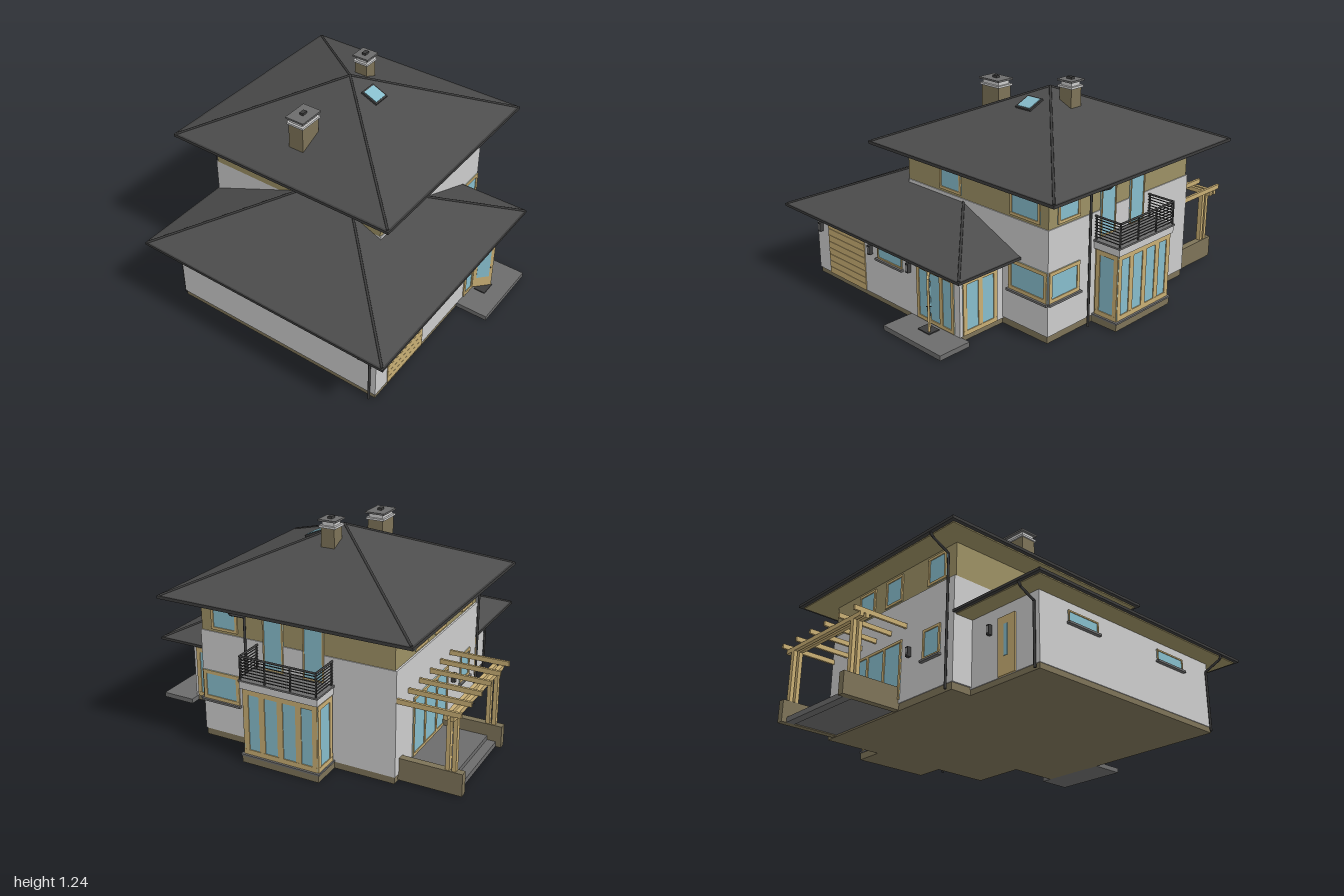
import * as THREE from 'three';

const mat = (color, extra = {}) => new THREE.MeshStandardMaterial({ color, ...extra });
const M = {
  wall: mat(0xcccccc), olive: mat(0x9c9064), stone: mat(0x7d7358), wood: mat(0xc8ae74),
  glass: mat(0x86bccb), dark: mat(0x3c3c3c), slab: mat(0x6c6c6c),
  roof: mat(0x4c4c4c, { side: THREE.DoubleSide, flatShading: true }),
};

// Box given by its limits on each axis
function box(parent, name, m, x0, x1, y0, y1, z0, z1) {
  const mesh = new THREE.Mesh(new THREE.BoxGeometry(x1 - x0, y1 - y0, z1 - z0), m);
  mesh.position.set((x0 + x1) / 2, (y0 + y1) / 2, (z0 + z1) / 2);
  mesh.name = name;
  parent.add(mesh);
  return mesh;
}

// Round bar through a list of points
function bar(parent, name, m, r, ...pts) {
  for (let i = 1; i < pts.length; i++) {
    const a = new THREE.Vector3(...pts[i - 1]), b = new THREE.Vector3(...pts[i]);
    const d = b.clone().sub(a);
    const mesh = new THREE.Mesh(new THREE.CylinderGeometry(r, r, d.length(), 8), m);
    mesh.position.copy(a).add(b).multiplyScalar(0.5);
    mesh.quaternion.setFromUnitVectors(new THREE.Vector3(0, 1, 0), d.normalize());
    mesh.name = name;
    parent.add(mesh);
  }
}

// Flat roof plane: fan over its corners
function plane(parent, name, pts) {
  const v = [];
  for (let i = 1; i < pts.length - 1; i++) v.push(...pts[0], ...pts[i], ...pts[i + 1]);
  const g = new THREE.BufferGeometry();
  g.setAttribute('position', new THREE.Float32BufferAttribute(v, 3));
  g.computeVertexNormals();
  const mesh = new THREE.Mesh(g, M.roof);
  mesh.name = name;
  parent.add(mesh);
}

// Framed glazing on a wall; side is front, back, left (+x) or right (-x); a..b runs along the wall
const TURN = { front: 0, left: Math.PI / 2, back: Math.PI, right: -Math.PI / 2 };
function glazing(parent, name, side, at, a, b, y0, y1, { panes = 1, sill = false, f = 0.015 } = {}) {
  const g = new THREE.Group();
  const w = Math.abs(b - a), mid = (a + b) / 2, n = w / panes;
  g.name = name;
  g.rotation.y = TURN[side];
  if (side === 'front' || side === 'back') g.position.set(mid, 0, at);
  else g.position.set(at, 0, mid);
  box(g, 'glass', M.glass, -w / 2, w / 2, y0, y1, -0.004, 0.003);
  for (const y of [y0, y1 - f]) box(g, 'frameRail', M.wood, -w / 2, w / 2, y, y + f, -0.004, 0.008);
  for (let i = 0; i <= panes; i++) {
    const x = -w / 2 + i * n, h = i === 0 || i === panes ? f : f * 1.2;
    const x0 = i === 0 ? x : i === panes ? x - h : x - h / 2;
    box(g, 'frameStile', M.wood, x0, x0 + h, y0, y1, -0.004, 0.0075);
  }
  if (sill) box(g, 'sill', M.slab, -w / 2 - 0.008, w / 2 + 0.008, y0 - 0.012, y0, -0.004, 0.02);
  parent.add(g);
}

function lamp(parent, x, z, dir) {
  box(parent, 'wallLamp', M.dark, x - 0.01, x + 0.01, 0.275, 0.33, z - 0.012, z + 0.012);
  box(parent, 'lampGlass', M.wall, x - 0.005, x + 0.005, 0.285, 0.32, z + dir * 0.013 - 0.002, z + dir * 0.013 + 0.002);
}

function chimney(parent, x0, x1, z0, z1, base, top) {
  const g = new THREE.Group();
  const cx = (x0 + x1) / 2, cz = (z0 + z1) / 2;
  g.name = 'chimney';
  box(g, 'stack', M.stone, x0, x1, base, top, z0, z1);
  box(g, 'collar', M.wall, x0 - 0.008, x1 + 0.008, top, top + 0.012, z0 - 0.008, z1 + 0.008);
  box(g, 'neck', M.wall, x0 + 0.005, x1 - 0.005, top + 0.012, top + 0.035, z0 + 0.005, z1 - 0.005);
  box(g, 'cap', M.slab, x0 - 0.01, x1 + 0.01, top + 0.035, top + 0.045, z0 - 0.012, z1 + 0.012);
  box(g, 'vent', M.dark, cx - 0.018, cx + 0.018, top + 0.045, top + 0.058, cz - 0.012, cz + 0.012);
  parent.add(g);
}

function walls(g) {
  box(g, 'groundFloorWall', M.wall, -0.32, 0.755, 0.04, 0.63, -0.655, 0.505);
  box(g, 'upperFloorWall', M.olive, -0.32, 0.75, 0.63, 0.83, -0.645, 0.5);
  box(g, 'garageWall', M.wall, -0.8, -0.31, 0.03, 0.42, -0.53, 0.81);
  box(g, 'porchWall', M.wall, -0.32, 0.43, 0.03, 0.42, 0.49, 0.81);
  box(g, 'housePlinth', M.stone, -0.31, 0.75, 0, 0.04, -0.65, 0.5);
  box(g, 'garagePlinth', M.stone, -0.795, -0.31, 0, 0.03, -0.525, 0.805);
  box(g, 'porchPlinth', M.stone, -0.31, 0.425, 0, 0.03, 0.49, 0.805);
}

function upperRoof(g) {
  const x0 = -0.47, x1 = 0.91, z0 = -0.8, z1 = 0.64, y = 0.85, apex = [0.215, 1.157, -0.08];
  const c = [[x0, y, z1], [x1, y, z1], [x1, y, z0], [x0, y, z0]];
  c.forEach((p, i) => {
    plane(g, 'upperRoofSlope', [p, c[(i + 1) % 4], apex]);
    bar(g, 'hipCap', M.dark, 0.007, p, apex);
  });
  box(g, 'upperEave', M.dark, -0.483, 0.922, 0.833, 0.85, -0.813, 0.652);
  box(g, 'upperSoffit', M.olive, -0.46, 0.9, 0.826, 0.834, -0.79, 0.63);
  // skylight lying on the front slope
  const s = new THREE.Group();
  s.name = 'skylight';
  s.position.set(0.215, 1.089, 0.085);
  s.rotation.x = Math.atan2(0.307, 0.72);
  box(s, 'skylightFrame', M.dark, -0.055, 0.055, -0.01, 0.008, -0.055, 0.055);
  box(s, 'skylightGlass', M.glass, -0.045, 0.045, 0, 0.011, -0.045, 0.045);
  g.add(s);
  chimney(g, -0.285, -0.145, -0.13, -0.035, 0.9, 1.085);
  chimney(g, 0.32, 0.405, -0.12, -0.04, 1.0, 1.18);
}

function lowerRoof(g) {
  // one pitch all round; height follows from the distance to the nearest eave
  const X0 = -0.925, X1 = 0.555, Z0 = -0.65, Z1 = 0.925;
  const P = (x, z) => [x, 0.43 + 0.43 * Math.min(x - X0, X1 - x, z - Z0, Z1 - z), z];
  const r = 0.605; // garage eave to house wall
  const A = P(X0, Z1), B = P(X1, Z1), C = P(X1 - 0.425, 0.5), F = P(-0.32, Z1 - r);
  const G = P(-0.32, Z0 + r), H = P(X0, Z0);
  plane(g, 'lowerRoofFront', [A, B, C, P(-0.32, 0.5), F]);
  plane(g, 'lowerRoofEnd', [B, P(X1, 0.5), C]);
  plane(g, 'lowerRoofSide', [A, F, G, H]);
  plane(g, 'lowerRoofBack', [H, G, P(-0.32, Z0)]);
  for (const [p, q] of [[A, F], [B, C], [H, G]]) bar(g, 'hipCap', M.dark, 0.007, p, q);
  box(g, 'lowerEaveFront', M.dark, -0.935, 0.565, 0.415, 0.43, 0.5, 0.935);
  box(g, 'lowerEaveSide', M.dark, -0.935, -0.315, 0.415, 0.43, -0.66, 0.5);
  box(g, 'lowerSoffitFront', M.olive, -0.915, 0.545, 0.409, 0.416, 0.5, 0.915);
  box(g, 'lowerSoffitSide', M.olive, -0.915, -0.315, 0.409, 0.416, -0.64, 0.5);
}

function openings(g) {
  // front
  glazing(g, 'upperWindow', 'front', 0.5, -0.055, 0.115, 0.645, 0.81);
  glazing(g, 'upperWindow', 'front', 0.5, 0.485, 0.695, 0.645, 0.81);
  glazing(g, 'cornerWindowFront', 'front', 0.505, 0.48, 0.75, 0.23, 0.4, { sill: true, f: 0.02 });
  glazing(g, 'hallWindow', 'front', 0.81, -0.23, -0.02, 0.27, 0.35, { sill: true, f: 0.008 });
  glazing(g, 'entranceGlazing', 'front', 0.81, 0.1, 0.39, 0.035, 0.345, { panes: 3, f: 0.02 });
  for (let i = 0; i < 8; i++) box(g, 'garageDoorSlat', M.wood, -0.69, -0.35, 0.03 + i * 0.04, 0.068 + i * 0.04, 0.8, 0.815);
  box(g, 'garageDoorPanel', M.wood, -0.69, -0.35, 0.03, 0.35, 0.8, 0.812);
  for (const x of [-0.755, -0.29, 0.04]) lamp(g, x, 0.822, 1);
  // entrance door standing open
  const d = new THREE.Group();
  d.name = 'openEntranceDoor';
  d.position.set(0.2, 0, 0.815);
  d.rotation.y = -0.75;
  box(d, 'doorLeaf', M.wood, 0, 0.115, 0.04, 0.34, -0.006, 0.006);
  box(d, 'doorGlass', M.glass, 0.02, 0.095, 0.11, 0.325, -0.008, 0.008);
  bar(d, 'doorHandle', M.dark, 0.003, [0.1, 0.18, -0.014], [0.1, 0.18, 0.014]);
  g.add(d);
  // left side
  glazing(g, 'upperWindow', 'left', 0.75, 0.27, 0.435, 0.645, 0.81);
  for (const z of [0.05, -0.19]) glazing(g, 'balconyDoor', 'left', 0.756, z - 0.06, z + 0.06, 0.48, 0.805, { f: 0.008 });
  glazing(g, 'cornerWindowSide', 'left', 0.755, 0.27, 0.5, 0.23, 0.4, { sill: true, f: 0.02 });
  glazing(g, 'porchSideGlazing', 'left', 0.43, 0.55, 0.79, 0.035, 0.345, { panes: 2, f: 0.025 });
  // back
  for (const x of [0.45, 0.2, -0.17]) glazing(g, 'upperWindow', 'back', -0.645, x - 0.075, x + 0.075, 0.645, 0.81);
  glazing(g, 'terraceDoors', 'back', -0.655, 0.1, 0.55, 0.06, 0.4, { panes: 3 });
  glazing(g, 'kitchenWindow', 'back', -0.655, -0.22, -0.08, 0.22, 0.39, { sill: true });
  box(g, 'backDoor', M.wood, -0.64, -0.52, 0.03, 0.345, -0.54, -0.525);
  box(g, 'backDoorGlass', M.glass, -0.59, -0.565, 0.13, 0.3, -0.543, -0.53);
  lamp(g, -0.46, -0.542, -1);
  lamp(g, 0.03, -0.667, -1);
  // right side of the garage
  for (const z of [0.47, -0.22]) glazing(g, 'garageWindow', 'right', -0.8, z - 0.11, z + 0.11, 0.3, 0.365, { sill: true, f: 0.008 });
}

function bayAndBalcony(g) {
  box(g, 'bayPlinth', M.stone, 0.74, 0.92, 0, 0.04, -0.305, 0.155);
  box(g, 'bayCore', M.wood, 0.74, 0.905, 0.04, 0.43, -0.295, 0.14);
  glazing(g, 'bayFront', 'left', 0.905, -0.295, 0.14, 0.05, 0.425, { panes: 4, f: 0.028 });
  glazing(g, 'bayCheek', 'front', 0.14, 0.765, 0.91, 0.05, 0.425, { f: 0.026 });
  glazing(g, 'bayCheek', 'back', -0.295, 0.765, 0.91, 0.05, 0.425, { f: 0.026 });
  box(g, 'baySill', M.slab, 0.75, 0.925, 0.04, 0.05, -0.31, 0.16);
  box(g, 'balconySlab', M.wall, 0.74, 0.925, 0.43, 0.47, -0.305, 0.155);
  box(g, 'balconyFloor', M.slab, 0.74, 0.93, 0.47, 0.48, -0.31, 0.16);
  for (let i = 0; i < 8; i++) {
    const y = 0.495 + i * 0.0164;
    bar(g, 'balconyRail', M.dark, i === 7 ? 0.006 : 0.003, [0.755, y, 0.148], [0.922, y, 0.148], [0.922, y, -0.298], [0.755, y, -0.298]);
  }
  for (const [x, z] of [[0.765, 0.148], [0.922, 0.148], [0.922, 0], [0.922, -0.15], [0.922, -0.298], [0.765, -0.298]])
    bar(g, 'balconyPost', M.dark, 0.005, [x, 0.475, z], [x, 0.612, z]);
}

function terrace(g) {
  box(g, 'entranceStep', M.slab, 0.04, 0.49, 0, 0.028, 0.8, 1);
  box(g, 'doorMat', M.dark, 0.2, 0.29, 0.028, 0.034, 0.83, 0.9);
  for (const [a, b] of [[0.11, 0.15], [0.67, 0.71]]) box(g, 'terraceSideWall', M.stone, a, b, 0.005, 0.13, -1, -0.65);
  box(g, 'terraceFloor', M.slab, 0.15, 0.67, 0.01, 0.06, -0.92, -0.65);
  box(g, 'terraceStep', M.slab, 0.15, 0.67, 0.005, 0.035, -0.97, -0.92);
  // pergola
  for (const x of [0.13, 0.69]) for (const z of [-0.915, -0.95]) box(g, 'pergolaPost', M.wood, x - 0.014, x + 0.014, 0.13, 0.44, z - 0.011, z + 0.011);
  for (const z of [-0.915, -0.95]) box(g, 'pergolaBeam', M.wood, 0.06, 0.755, 0.43, 0.455, z - 0.011, z + 0.011);
  for (let i = 0; i < 6; i++) {
    const x = 0.07 + i * 0.135;
    box(g, 'pergolaRafter', M.wood, x - 0.007, x + 0.007, 0.455, 0.482, -0.995, -0.65);
  }
}

function downpipes(g) {
  const r = 0.007;
  bar(g, 'downpipe', M.dark, r, [0.91, 0.835, 0.21], [0.895, 0.815, 0.21], [0.775, 0.76, 0.21], [0.775, 0, 0.21]);
  bar(g, 'downpipe', M.dark, r, [-0.29, 0.835, -0.8], [-0.29, 0.815, -0.785], [-0.29, 0.76, -0.675], [-0.29, 0, -0.675]);
  bar(g, 'downpipe', M.dark, r, [-0.925, 0.42, 0.78], [-0.915, 0.395, 0.78], [-0.815, 0.35, 0.78], [-0.815, 0, 0.78]);
  bar(g, 'downpipe', M.dark, r, [-0.78, 0.42, -0.65], [-0.78, 0.395, -0.635], [-0.78, 0.35, -0.545], [-0.78, 0, -0.545]);
}

export function createModel() {
  const house = new THREE.Group();
  house.name = 'house';
  for (const build of [walls, upperRoof, lowerRoof, openings, bayAndBalcony, terrace, downpipes]) {
    const part = new THREE.Group();
    part.name = build.name;
    build(part);
    house.add(part);
  }
  return house;
}
